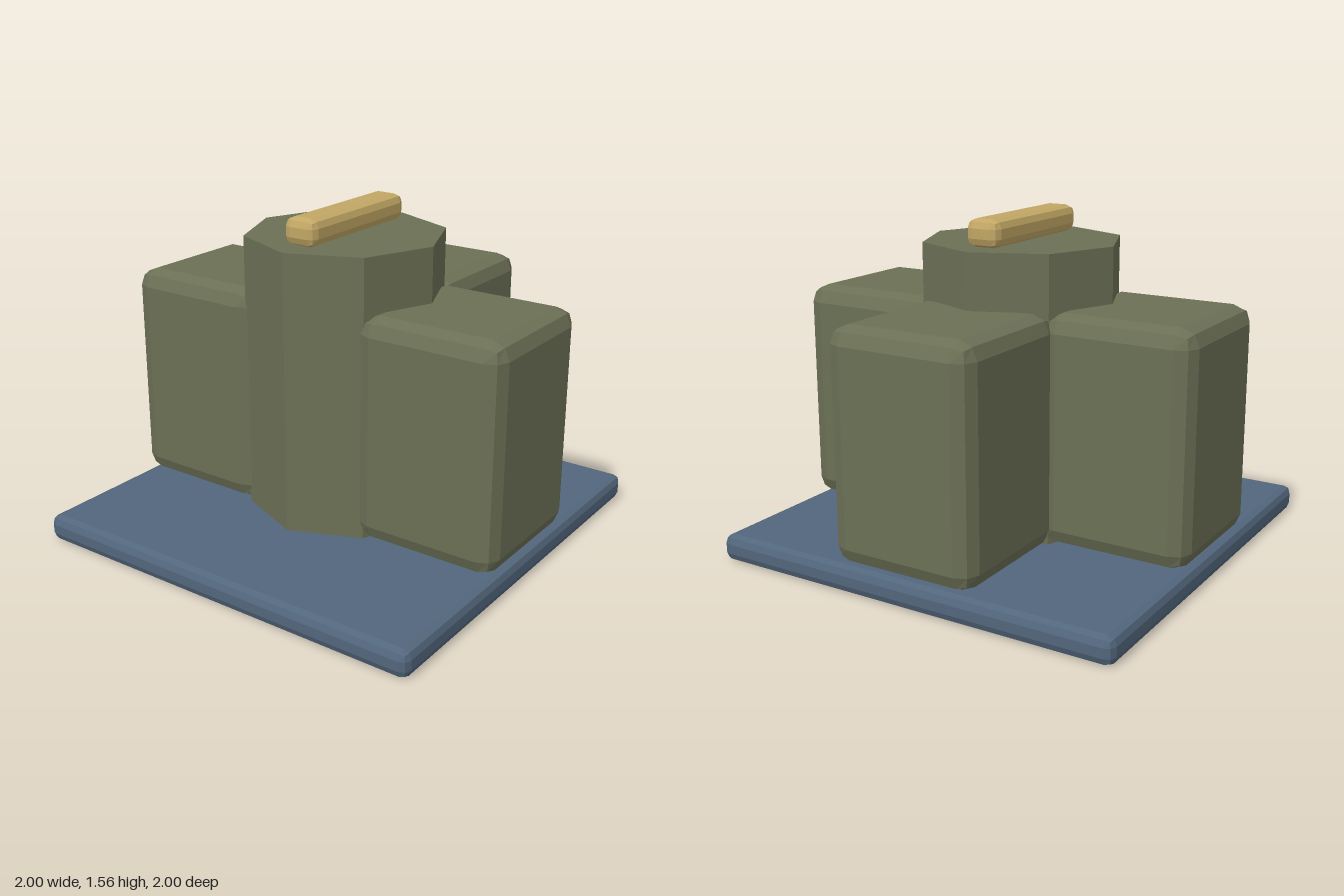
import * as THREE from 'three';
import { RoundedBoxGeometry } from 'three/addons/geometries/RoundedBoxGeometry.js';

const olive = new THREE.MeshStandardMaterial({ name: 'olive', color: 0x6b7055 });
const slate = new THREE.MeshStandardMaterial({ name: 'slateBlue', color: 0x52667c });
const tan = new THREE.MeshStandardMaterial({ name: 'tan', color: 0xc2a765 });

// Box with two flat bevel facets along every edge
function bevelBox(name, material, size, radius, position) {
  const geometry = new RoundedBoxGeometry(...size, 1, radius);
  geometry.computeVertexNormals();
  const mesh = new THREE.Mesh(geometry, material);
  mesh.name = name;
  mesh.position.set(...position);
  return mesh;
}

export function createModel() {
  const model = new THREE.Group();
  model.name = 'model';

  // Square base plate
  model.add(bevelBox('basePlate', slate, [2, 0.125, 2], 0.04, [0, 0.0625, 0]));

  // Eight-sided central column, corners on the axes
  const columnGeometry = new THREE.CylinderGeometry(0.463, 0.463, 1.31, 8).toNonIndexed();
  columnGeometry.computeVertexNormals();
  const column = new THREE.Mesh(columnGeometry, olive);
  column.name = 'column';
  column.position.y = 0.125 + 0.655;
  model.add(column);

  // Three blocks around the column, leaving the -x side open
  const blocks = [['frontBlock', 0, 1], ['backBlock', 0, -1], ['leftBlock', 1, 0]];
  for (const [name, x, z] of blocks) {
    model.add(bevelBox(name, olive, [0.71, 1.05, 0.71], 0.08, [x * 0.645, 0.655, z * 0.645]));
  }

  // Bar on top of the column
  model.add(bevelBox('topBar', tan, [0.71, 0.125, 0.166], 0.04, [0, 1.4975, 0]));

  return model;
}
